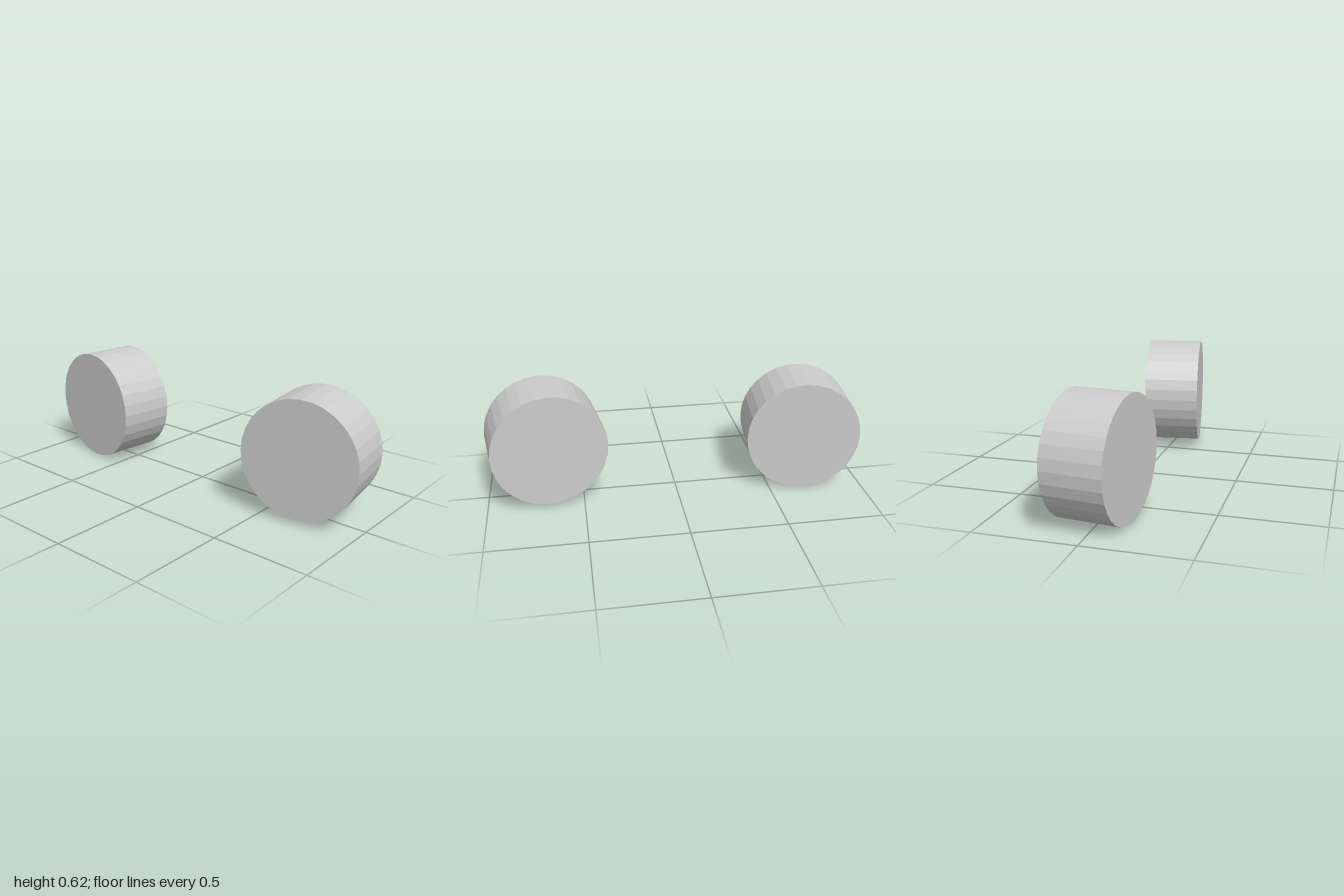
import * as THREE from 'three';

const RADIUS = 0.3, DEPTH = 0.3, SIDES = 32;

export function createModel() {
  const model = new THREE.Group();
  const material = new THREE.MeshStandardMaterial({ color: 0xcccccc, flatShading: true });

  // Short solid drum with its axis along z
  const drum = new THREE.CylinderGeometry(RADIUS, RADIUS, DEPTH, SIDES).rotateX(Math.PI / 2);

  // Each drum is turned slightly outward, the left one sitting a little higher
  const addDrum = (name, x, y, z, turn) => {
    const mesh = new THREE.Mesh(drum, material);
    mesh.name = name;
    mesh.position.set(x, y, z);
    mesh.rotation.y = THREE.MathUtils.degToRad(turn);
    model.add(mesh);
  };
  addDrum('leftDrum', 0.681, 0.32, 0, 8.6);
  addDrum('rightDrum', -0.685, 0.3, -0.004, -6.4);

  return model;
}
